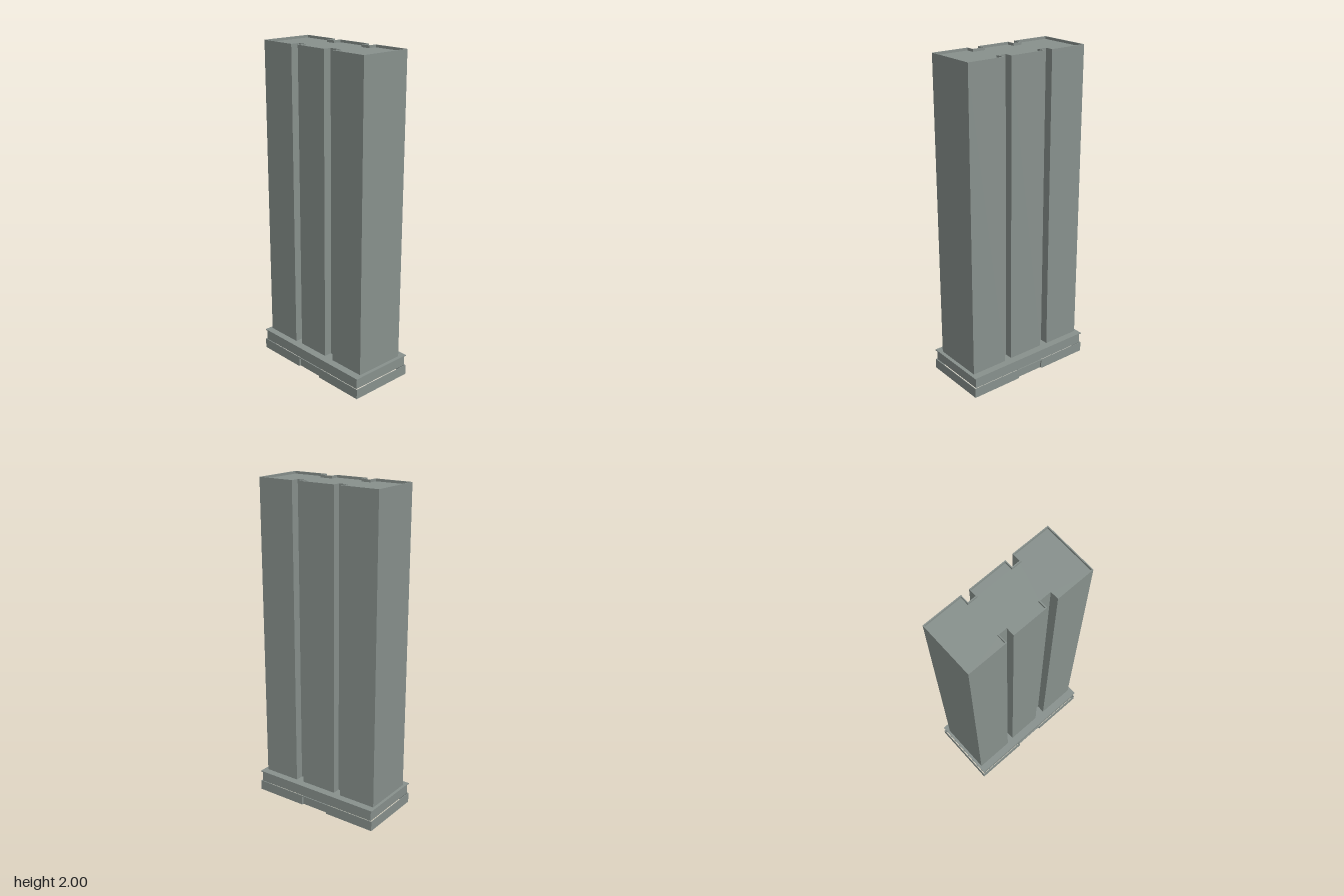
import * as THREE from 'three';

const SLAB_TOP = 0.132, ROOF = 1.985, TOP = 2, RIM = 0.006;

// Tower plan as (x, z), with two notches on the back and two on the front
const PLAN = [
  [-0.409, -0.166], [-0.168, -0.166], [-0.168, -0.114], [-0.119, -0.114],
  [-0.119, -0.163], [0.117, -0.163], [0.117, -0.114], [0.167, -0.114],
  [0.167, -0.166], [0.404, -0.166], [0.404, 0.163], [0.167, 0.163],
  [0.167, 0.112], [0.097, 0.112], [0.097, 0.162], [-0.119, 0.162],
  [-0.119, 0.112], [-0.168, 0.112], [-0.168, 0.168], [-0.409, 0.168],
];

// Moves every side of a right-angled plan inward by d
function inset(plan, d) {
  const n = plan.length;
  const normal = (a, b) => [-Math.sign(b[1] - a[1]) * d, Math.sign(b[0] - a[0]) * d];
  return plan.map((p, i) => {
    const u = normal(plan[(i + n - 1) % n], p);
    const v = normal(p, plan[(i + 1) % n]);
    return [p[0] + u[0] + v[0], p[1] + u[1] + v[1]];
  });
}

const rectangle = (x, z) => [[-x, -z], [x, -z], [x, z], [-x, z]];

export function createModel() {
  const group = new THREE.Group();
  const concrete = new THREE.MeshStandardMaterial({ color: 0x89928e, side: THREE.DoubleSide });
  concrete.name = 'grey concrete';

  const add = (name, geometry, parent = group) => {
    const mesh = new THREE.Mesh(geometry, concrete);
    mesh.name = name;
    parent.add(mesh);
    return mesh;
  };

  // Extrudes a plan (optionally with a hole) upward from y0 to y1
  const prism = (name, plan, y0, y1, hole) => {
    const points = (list) => list.map(([x, z]) => new THREE.Vector2(x, -z));
    const shape = new THREE.Shape(points(plan));
    if (hole) shape.holes.push(new THREE.Path(points(hole)));
    const geometry = new THREE.ExtrudeGeometry(shape, { depth: y1 - y0, bevelEnabled: false });
    geometry.rotateX(-Math.PI / 2).translate(0, y0, 0);
    return add(name, geometry);
  };

  const box = (name, x0, x1, y0, y1, z0, z1, parent) => add(name,
    new THREE.BoxGeometry(x1 - x0, y1 - y0, z1 - z0)
      .translate((x0 + x1) / 2, (y0 + y1) / 2, (z0 + z1) / 2), parent);

  // Tower with a raised rim around the roof
  prism('tower', PLAN, SLAB_TOP, ROOF);
  prism('roofParapet', PLAN, ROOF, TOP, inset(PLAN, RIM));

  // Hollow podium under an overhanging slab
  prism('podiumSlab', rectangle(0.427, 0.211), 0.126, SLAB_TOP);
  prism('podiumWall', rectangle(0.418, 0.205), 0.062, 0.126, rectangle(0.414, 0.201));

  // Ground-level band, standing just outside the podium
  const X = 0.427, Z = 0.211, T = 0.004, H = 0.062;
  const door = 0.093, doorTop = 0.055, recess = 0.012;
  for (const side of [1, -1]) {
    const face = new THREE.Group();
    face.name = side > 0 ? 'frontBand' : 'backBand';
    box('bandWallRight', -X, -door, 0, H, Z - T, Z, face);
    box('bandWallLeft', door, X, 0, H, Z - T, Z, face);
    box('doorLintel', -door, door, doorTop, H, Z - recess, Z, face);
    box('doorPanel', -door, door, 0, doorTop, Z - recess - T, Z - recess, face);
    for (const s of [-1, 1]) {
      box('doorReveal', s * door - T / 2, s * door + T / 2, 0, doorTop, Z - recess - T, Z - T, face);
    }
    face.rotation.y = side > 0 ? 0 : Math.PI;
    group.add(face);
    box('sideBand', side * (X - T / 2) - T / 2, side * (X - T / 2) + T / 2, 0, H, -Z + T, Z - T);
  }

  return group;
}
